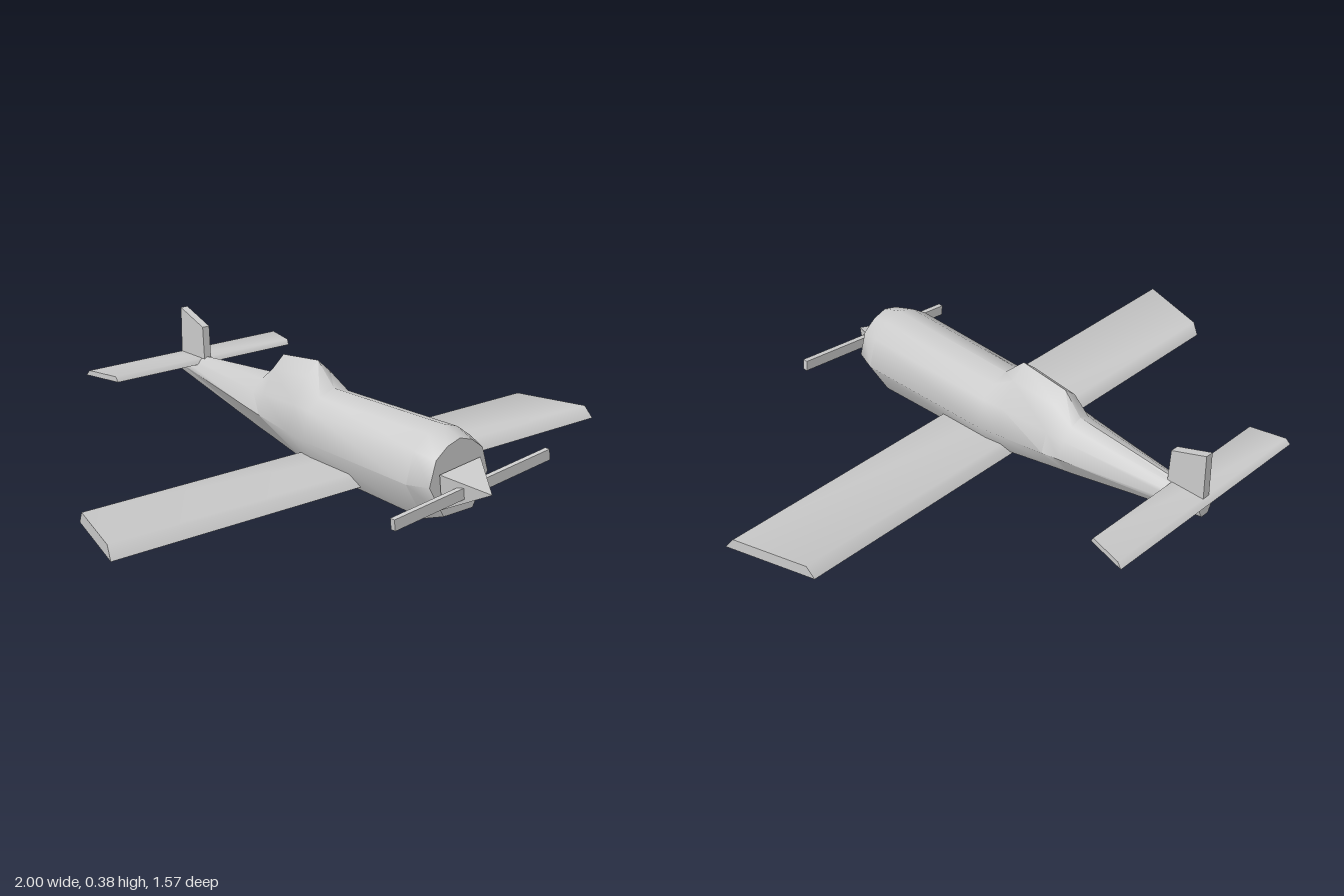
import * as THREE from 'three';
import { toCreasedNormals } from 'three/addons/utils/BufferGeometryUtils.js';

const material = new THREE.MeshStandardMaterial({ color: 0xcccccc });

// Skin a list of rings (counter-clockwise seen from the first ring's outside) and cap both ends
function loft(rings, crease) {
  const n = rings[0].length, last = (rings.length - 1) * n, index = [];
  for (let i = 0; i < rings.length - 1; i++) {
    for (let j = 0; j < n; j++) {
      const a = i * n + j, b = i * n + (j + 1) % n, c = b + n, d = a + n;
      index.push(a, d, b, b, d, c);
    }
  }
  for (let j = 1; j < n - 1; j++) {
    index.push(0, j, j + 1, last, last + j + 1, last + j);
  }
  const geometry = new THREE.BufferGeometry();
  geometry.setAttribute('position', new THREE.Float32BufferAttribute(rings.flat(2), 3));
  geometry.setIndex(index);
  return toCreasedNormals(geometry, crease);
}

function part(name, geometry) {
  const mesh = new THREE.Mesh(geometry, material);
  mesh.name = name;
  return mesh;
}

// Mirrored slab with bevelled edges; section points are [z, y], tips run between two half-spans
function slab(section, frontSpan, backSpan) {
  const zs = section.map(p => p[0]), z0 = Math.min(...zs), z1 = Math.max(...zs);
  const tip = side => section.map(([z, y]) =>
    [side * THREE.MathUtils.mapLinear(z, z0, z1, backSpan, frontSpan), y, z]);
  return loft([tip(1), tip(-1)], 1.1);
}

// Half of the cross-section is listed from belly to spine and then mirrored
function fuselageRing([z, w, bottom, mid, shoulder, upperX, upperY, top]) {
  const half = [[0.5 * w, bottom], [w, mid], [0.8 * w, shoulder], [upperX, upperY]];
  return [
    ...half.map(([x, y]) => [x, y, z]),
    [0, top, z],
    ...half.reverse().map(([x, y]) => [-x, y, z]),
  ];
}

export function createModel() {
  const plane = new THREE.Group();
  plane.name = 'airplane';

  // Fuselage with the canopy hump: z, half width, belly, mid, shoulder, upper x, upper y, spine
  const stations = [
    [0.64, 0.12, 0.03, 0.135, 0.215, 0.05, 0.25, 0.265],
    [0.565, 0.145, 0.004, 0.13, 0.23, 0.06, 0.27, 0.29],
    [0.06, 0.135, 0.015, 0.13, 0.225, 0.06, 0.26, 0.28],
    [-0.02, 0.128, 0.03, 0.135, 0.225, 0.05, 0.31, 0.355],
    [-0.2, 0.107, 0.06, 0.145, 0.215, 0.045, 0.295, 0.335],
    [-0.265, 0.1, 0.07, 0.15, 0.21, 0.04, 0.243, 0.26],
    [-0.77, 0.03, 0.155, 0.185, 0.203, 0.01, 0.213, 0.218],
  ];
  plane.add(part('fuselage', loft(stations.map(fuselageRing), 0.85)));

  // Wing and tailplane
  plane.add(part('wing', slab(
    [[0.285, 0.025], [-0.025, 0.025], [0, 0.065], [0.255, 0.065]], 1, 0.91)));
  plane.add(part('tailplane', slab(
    [[-0.64, 0.205], [-0.785, 0.205], [-0.77, 0.223], [-0.65, 0.223]], 0.37, 0.405)));

  // Fin, drawn in the z-y plane and extruded across x
  const outline = new THREE.Shape([[0.632, 0.215], [0.77, 0.21], [0.77, 0.383], [0.64, 0.337]]
    .map(p => new THREE.Vector2(...p)));
  const finGeometry = new THREE.ExtrudeGeometry(outline, { depth: 0.028, bevelEnabled: false });
  finGeometry.translate(0, 0, -0.014).rotateY(Math.PI / 2);
  plane.add(part('fin', finGeometry));

  // Propeller: faceted spinner and one straight two-bladed bar, slightly turned
  const propeller = new THREE.Group();
  propeller.name = 'propeller';
  propeller.position.y = 0.125;
  const spinner = new THREE.ConeGeometry(0.085, 0.13, 4, 1);
  spinner.rotateX(Math.PI / 2).rotateZ(Math.PI / 4).scale(1.4, 0.95, 1);
  const spinnerMesh = part('spinner', toCreasedNormals(spinner, 0.5));
  spinnerMesh.position.z = 0.715;
  const blades = part('blades', new THREE.BoxGeometry(0.64, 0.036, 0.018));
  blades.position.z = 0.7;
  propeller.add(spinnerMesh, blades);
  propeller.rotation.z = 0.11;
  plane.add(propeller);

  return plane;
}
